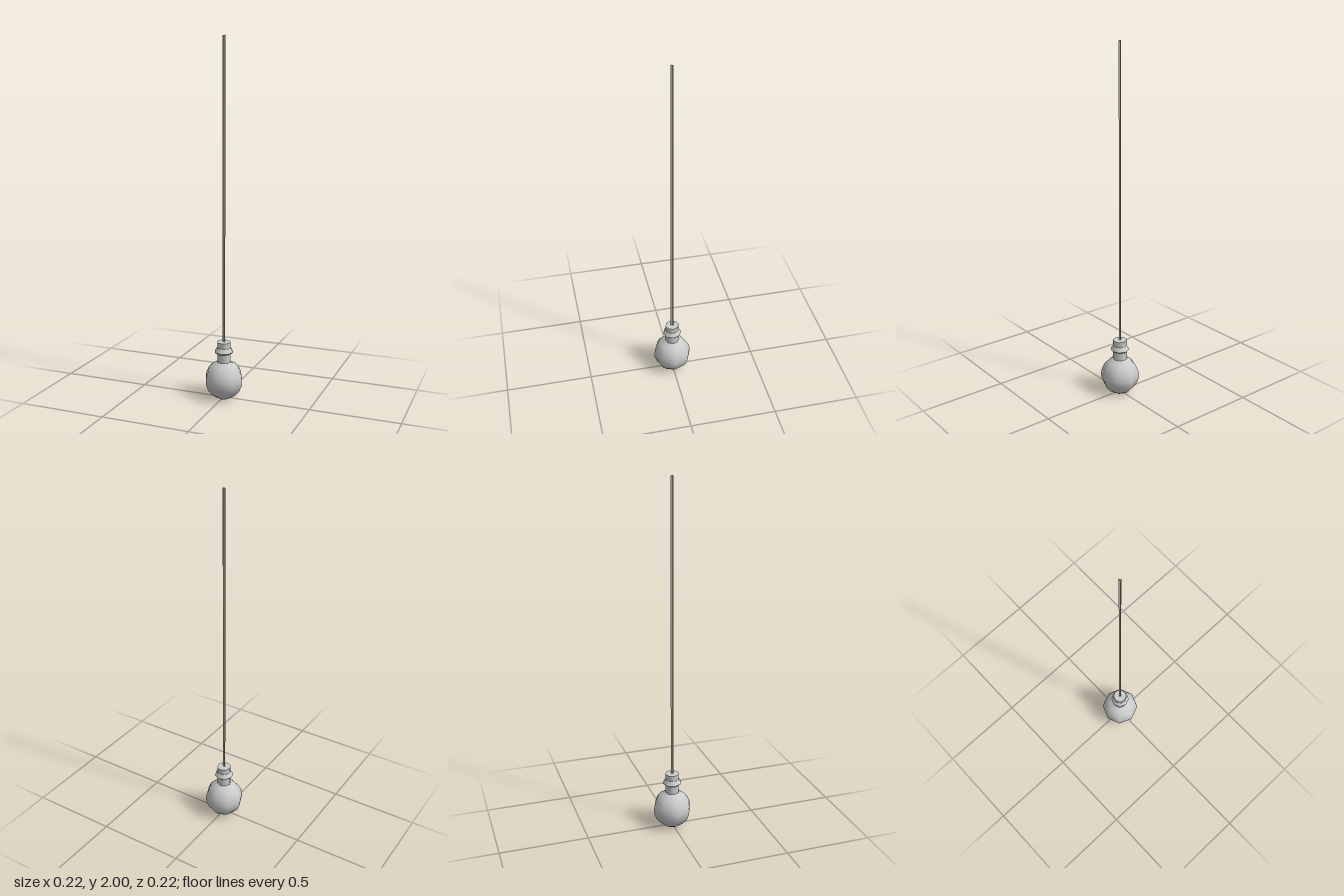
import * as THREE from 'three';

const SIDES = 8;

export function createModel() {
  const group = new THREE.Group();
  const material = new THREE.MeshStandardMaterial({ color: 0xcccccc });
  const thin = new THREE.MeshStandardMaterial({ color: 0xcccccc, side: THREE.DoubleSide });

  // Eight-sided turned part from [radius, height] pairs, bottom to top
  const turned = (name, profile) => {
    const points = profile.map(([r, y]) => new THREE.Vector2(r, y));
    const mesh = new THREE.Mesh(new THREE.LatheGeometry(points, SIDES), material);
    mesh.name = name;
    group.add(mesh);
  };

  // Glass globe with a small flat base
  turned('bulbBase', [[0, 0], [0.04, 0]]);
  turned('bulbGlobe', [
    [0.04, 0], [0.068, 0.018], [0.093, 0.046], [0.107, 0.08], [0.11, 0.107],
    [0.105, 0.138], [0.091, 0.168], [0.069, 0.193], [0.04, 0.21],
  ]);

  // Socket: neck, flared ring, upper sleeve and flat cap
  turned('neck', [[0.04, 0.21], [0.04, 0.257]]);
  turned('ringUnderside', [[0.04, 0.257], [0.054, 0.268]]);
  turned('ringTop', [[0.054, 0.268], [0.039, 0.292]]);
  turned('sleeve', [[0.039, 0.292], [0.04, 0.325]]);
  turned('sleeveCap', [[0.04, 0.325], [0, 0.325]]);

  // Hanging cord: two crossed strips
  const cord = new THREE.Group();
  cord.name = 'cord';
  for (const angle of [0, Math.PI / 2]) {
    const strip = new THREE.Mesh(new THREE.PlaneGeometry(0.016, 1.675), thin);
    strip.name = 'cordStrip';
    strip.position.y = 0.325 + 1.675 / 2;
    strip.rotation.y = angle;
    cord.add(strip);
  }
  group.add(cord);

  return group;
}
